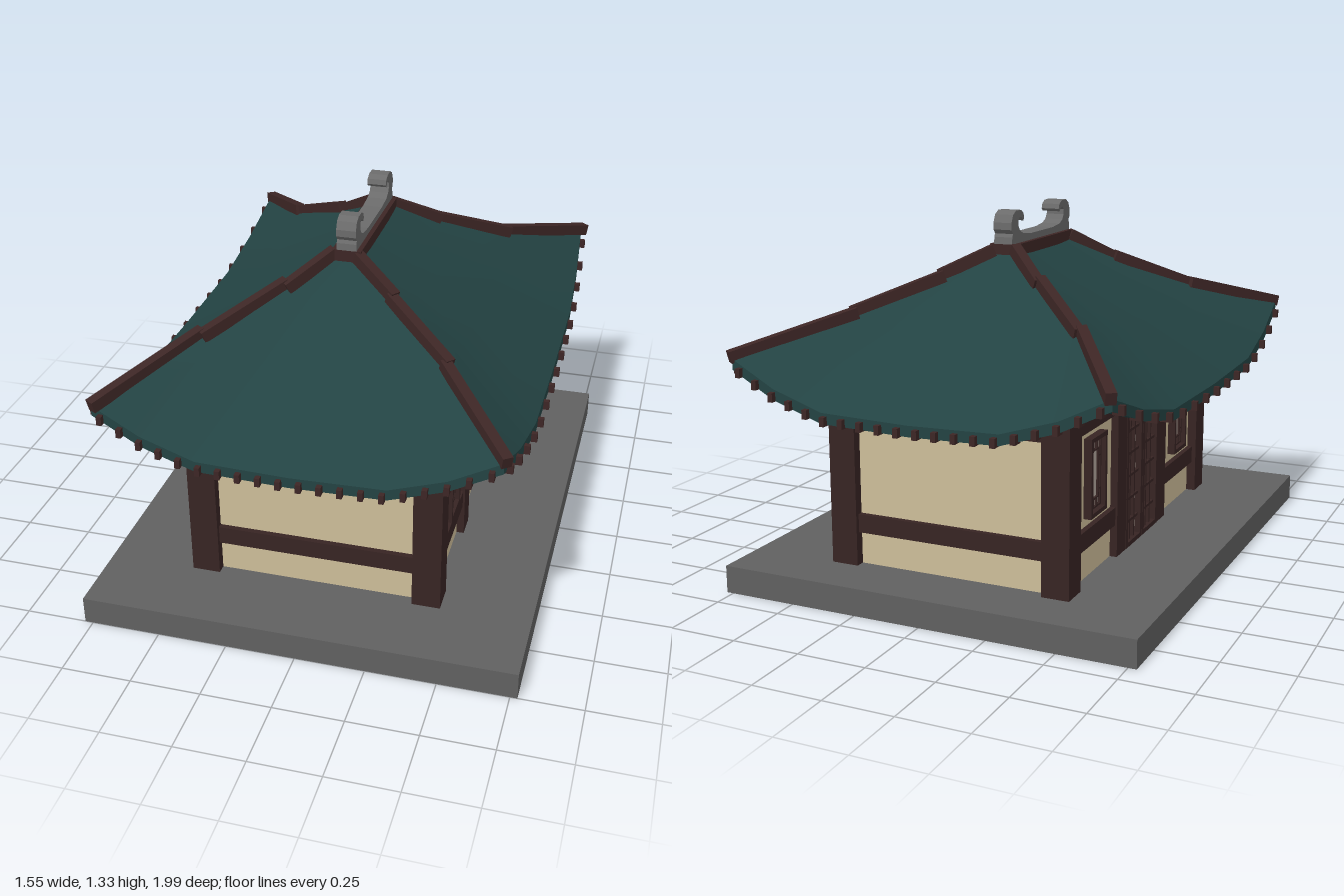
import * as THREE from 'three';

const mat = (name, color, side = THREE.FrontSide) => {
  const m = new THREE.MeshStandardMaterial({ color, side });
  m.name = name;
  return m;
};

export function createModel() {
  const model = new THREE.Group();
  model.name = 'hall';
  const stone = mat('stone', 0x606060, THREE.DoubleSide);
  const ornamentStone = mat('ornament stone', 0x6b6b6b);
  const wood = mat('dark wood', 0x372423);
  const plaster = mat('plaster', 0xcdbd99);
  const paper = mat('window paper', 0xb3a69d);
  const tile = mat('roof tile', 0x234343, THREE.DoubleSide);
  const ridgeWood = mat('ridge wood', 0x3d2625);

  const add = (parent, name, geo, material, x = 0, y = 0, z = 0) => {
    const m = new THREE.Mesh(geo, material);
    m.name = name;
    m.position.set(x, y, z);
    parent.add(m);
    return m;
  };
  const box = (parent, name, material, w, h, d, x, y, z) =>
    add(parent, name, new THREE.BoxGeometry(w, h, d), material, x, y, z);
  const group = (parent, name, x = 0, y = 0, z = 0, ry = 0) => {
    const g = new THREE.Group();
    g.name = name;
    g.position.set(x, y, z);
    g.rotation.y = ry;
    parent.add(g);
    return g;
  };

  // Stone platform, open underneath
  const baseGeo = new THREE.BoxGeometry(1.555, 0.1, 1.91);
  baseGeo.setIndex(Array.from(baseGeo.index.array).filter((_, i) => i < 18 || i > 23));
  baseGeo.clearGroups();
  add(model, 'platform', baseGeo, stone, -0.002, 0.05, 0.045);

  // Timber frame and plaster walls
  const house = group(model, 'house', -0.0075, 0, 0.0075);
  const X = 0.408, Z = 0.672, M = 0.215;
  for (const sx of [-1, 1]) {
    for (const sz of [-1, 1]) {
      box(house, 'cornerColumn', wood, 0.102, 0.78, 0.102, sx * X, 0.41, sz * Z);
      box(house, 'middleColumn', wood, 0.085, 0.76, 0.09, sx * X, 0.4, sz * M);
    }
  }
  const wall = (parent, w, hasRail = true) => {
    box(parent, 'wall', plaster, w, 0.69, 0.03, 0, 0.425, 0);
    box(parent, 'upperBeam', wood, w, 0.066, 0.07, 0, 0.665, 0);
    if (hasRail) box(parent, 'lowerBeam', wood, w, 0.067, 0.07, 0, 0.254, 0);
  };
  for (const s of [1, -1]) wall(group(house, 'endWall', 0, 0, s * Z, s > 0 ? 0 : Math.PI), 2 * X - 0.1);

  // Rectangular frame made of four bars
  const frame = (parent, name, w, h, t, d, y, z) => {
    for (const s of [-1, 1]) {
      box(parent, name, wood, t, h, d, s * (w - t) / 2, y, z);
      box(parent, name, wood, w - 2 * t, t, d, 0, y + s * (h - t) / 2, z);
    }
  };
  const windowUnit = (parent) => {
    const g = group(parent, 'window', 0, 0.462, 0.015);
    box(g, 'windowPane', paper, 0.12, 0.265, 0.006, 0, 0, 0.003);
    frame(g, 'windowFrame', 0.145, 0.285, 0.016, 0.03, 0, 0.014);
    frame(g, 'windowInnerFrame', 0.105, 0.245, 0.007, 0.012, 0, 0.008);
    frame(g, 'windowLattice', 0.066, 0.18, 0.006, 0.012, 0, 0.008);
    for (const s of [-1, 1]) {
      box(g, 'latticeBar', wood, 0.006, 0.034, 0.012, s * 0.016, 0.105, 0.008);
      box(g, 'latticeBar', wood, 0.006, 0.034, 0.012, s * 0.016, -0.105, 0.008);
      for (const y of [-0.06, 0.06]) box(g, 'latticeBar', wood, 0.02, 0.006, 0.012, s * 0.042, y, 0.008);
    }
  };
  const door = (parent, x) => {
    const g = group(parent, 'door', x, 0.365, 0.015);
    box(g, 'doorPane', paper, 0.165, 0.53, 0.006, 0, 0, 0.003);
    frame(g, 'doorFrame', 0.168, 0.534, 0.02, 0.03, 0, 0.014);
    for (const s of [-1, 1]) box(g, 'doorLattice', wood, 0.01, 0.5, 0.018, s * 0.022, 0, 0.01);
    for (let k = 1; k < 6; k++) box(g, 'doorLattice', wood, 0.13, 0.01, 0.018, 0, -0.26 + k * 0.52 / 6, 0.01);
  };

  // Long sides: three bays each, with the doors on one side
  for (const s of [1, -1]) {
    for (const [z, w] of [[0.441, 0.365], [0, 0.345], [-0.441, 0.365]]) {
      const bay = group(house, 'sideBay', s * X, 0, z, s * Math.PI / 2);
      const hasDoor = s < 0 && z === 0;
      wall(bay, w, !hasDoor);
      if (hasDoor) for (const x of [-0.085, 0.085]) door(bay, x);
      else windowUnit(bay);
    }
  }

  // Roof: each hip station gives x, y, z, middle sag and outward bulge
  const roof = group(model, 'roof', -0.01, 0, -0.003);
  const hips = [
    [0.045, 1.185, 0.255, 0.01, 0],
    [0.19, 1.098, 0.365, 0.015, 0],
    [0.43, 0.98, 0.575, 0.06, 0.01],
    [0.69, 0.868, 0.94, 0.15, 0.03],
  ];
  const S = [-1, -0.75, -0.47, 0, 0.47, 0.75, 1];
  const SAG = [0, 0.56, 0.95, 1, 0.95, 0.56, 0];
  const up = new THREE.Vector3(0, 1, 0);
  const turn = (side, a, y, o) => new THREE.Vector3(a, y, o).applyAxisAngle(up, side * Math.PI / 2);
  const row = (side, [x, y, z, sag, bulge], drop = 0) => {
    const [a, o] = side % 2 ? [z, x] : [x, z];
    return S.map((s, i) => turn(side, s * a, y - sag * SAG[i] - drop, o + bulge * SAG[i]));
  };
  const patch = (name, rows) => {
    const n = S.length, index = [];
    for (let r = 0; r < rows.length - 1; r++) {
      for (let c = 0; c < n - 1; c++) {
        const a = r * n + c, b = a + n;
        index.push(a, b, a + 1, a + 1, b, b + 1);
      }
    }
    const geo = new THREE.BufferGeometry().setFromPoints(rows.flat());
    geo.setIndex(index);
    geo.computeVertexNormals();
    add(roof, name, geo, tile);
  };
  const eave = hips[3], inner = [0.4, 0.765, 0.665, 0, 0];
  for (let side = 0; side < 4; side++) {
    patch('roofSlope', hips.map((h) => row(side, h)));
    patch('eaveFascia', [row(side, eave), row(side, eave, 0.038)]);
    patch('soffit', [row(side, eave, 0.038), row(side, inner)]);
    // Rafter ends along the eave
    const edge = row(side, eave), count = side % 2 ? 15 : 20;
    for (let k = 0; k < count; k++) {
      const s = -0.95 + 1.9 * k / (count - 1);
      const i = Math.min(S.length - 2, S.findIndex((v, j) => s >= v && s < S[j + 1]));
      const p = edge[i].clone().lerp(edge[i + 1], (s - S[i]) / (S[i + 1] - S[i]));
      box(roof, 'rafterEnd', ridgeWood, 0.018, 0.032, 0.04, p.x, p.y - 0.026, p.z).rotation.y = side * Math.PI / 2;
    }
  }

  // Hip rails and main ridge
  const bar = (name, p, q, w, h) => {
    const m = box(roof, name, ridgeWood, w, h, p.distanceTo(q) + 0.015, 0, 0, 0);
    m.position.copy(p).lerp(q, 0.5);
    m.lookAt(q);
  };
  for (const sx of [-1, 1]) {
    for (const sz of [-1, 1]) {
      const pts = hips.map(([x, y, z]) => new THREE.Vector3(sx * x, y + 0.006, sz * z));
      for (let k = 0; k < 3; k++) bar('hipRail', pts[k], pts[k + 1], 0.036, 0.042);
    }
  }
  box(roof, 'ridgeBeam', ridgeWood, 0.105, 0.042, 0.52, 0, 1.192, 0.006);

  // Stone ridge crest with a curl at each end
  const half = [[0.26, 1.21], [0.258, 1.238], [0.252, 1.25], [0.264, 1.265], [0.264, 1.29],
    [0.25, 1.318], [0.225, 1.331], [0.185, 1.33], [0.163, 1.318], [0.157, 1.3], [0.165, 1.29],
    [0.178, 1.303], [0.194, 1.306], [0.206, 1.294], [0.205, 1.275], [0.192, 1.257],
    [0.165, 1.244], [0.1, 1.237]];
  const outline = [...half, ...half.map(([x, y]) => [-x, y]).reverse()];
  const crest = new THREE.ExtrudeGeometry(
    new THREE.Shape(outline.map(([x, y]) => new THREE.Vector2(x, y))),
    { depth: 0.071, bevelEnabled: false });
  crest.translate(0, 0, -0.0355);
  add(roof, 'ridgeCrest', crest, ornamentStone, 0, 0, 0.006).rotation.y = Math.PI / 2;

  return model;
}
